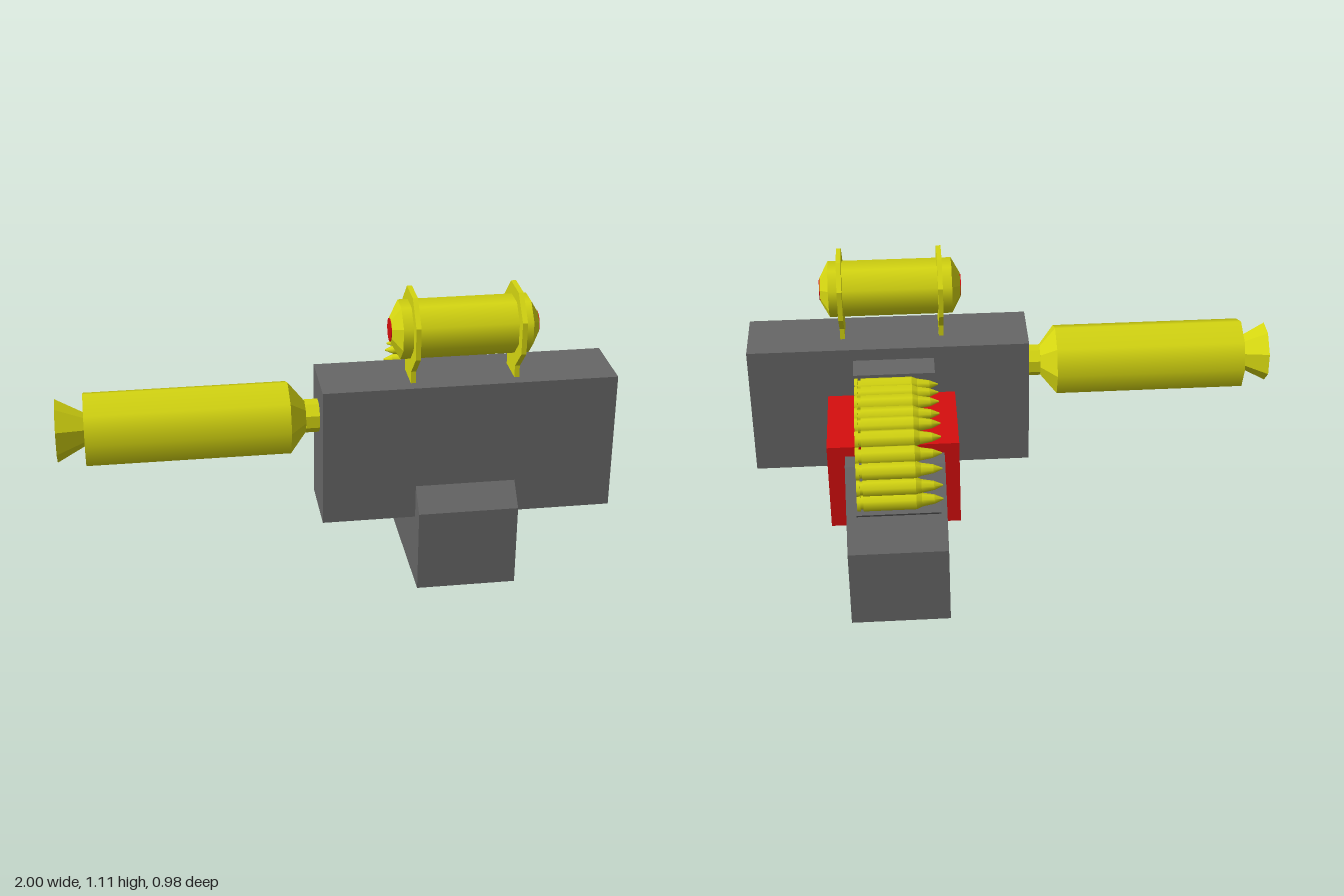
import * as THREE from 'three';

export function createModel() {
  const model = new THREE.Group();
  const paint = (name, color) => {
    const m = new THREE.MeshStandardMaterial({ color });
    m.name = name;
    return m;
  };
  const grey = paint('gunmetal grey', 0x666666);
  const yellow = paint('brass yellow', 0xd5d611);
  const red = paint('signal red', 0xd60e0e);

  const add = (name, geometry, material, parent = model) => {
    const mesh = new THREE.Mesh(geometry, material);
    mesh.name = name;
    parent.add(mesh);
    return mesh;
  };

  // Box given by its limits on each axis
  const box = (name, material, [x0, x1], [y0, y1], [z0, z1]) => {
    const g = new THREE.BoxGeometry(x1 - x0, y1 - y0, z1 - z0);
    return add(name, g.translate((x0 + x1) / 2, (y0 + y1) / 2, (z0 + z1) / 2), material);
  };

  // Round section along x, from radius r0 at x0 to radius r1 at x1
  const rod = (name, material, parent, x0, r0, x1, r1, { sides = 8, turn = 0, flat = false } = {}) => {
    let g = new THREE.CylinderGeometry(r1, r0, x1 - x0, sides, 1, false, turn);
    g.rotateZ(-Math.PI / 2).translate((x0 + x1) / 2, 0, 0);
    if (flat) {
      g = g.toNonIndexed();
      g.computeVertexNormals();
    }
    return add(name, g, material, parent);
  };

  // Side outline of [z, y] points, extruded from x0 to x1
  const slab = (name, material, points, x0, x1) => {
    const shape = new THREE.Shape(points.map(([z, y]) => new THREE.Vector2(z, y)));
    const g = new THREE.ExtrudeGeometry(shape, { depth: x1 - x0, bevelEnabled: false });
    return add(name, g.rotateY(-Math.PI / 2).translate(x1, 0, 0), material);
  };

  // Main blocks
  slab('base', grey, [[0.49, 0], [0.49, 0.31], [0.265, 0.54], [-0.265, 0.54], [-0.49, 0.31], [-0.49, 0]], 0.275, 0.64);
  box('receiver', grey, [-0.065, 1], [0.26, 0.78], [0.165, 0.415]);
  box('ammoBox', red, [0.22, 0.705], [0.23, 0.58], [-0.195, 0.2]);
  box('feedBlock', grey, [0.297, 0.602], [0.64, 0.733], [0.055, 0.17]);

  // Tilted plate where the belt leaves the base
  const plate = add('beltExit', new THREE.BoxGeometry(0.305, 0.03, 0.095), grey);
  plate.position.set(0.45, 0.453, -0.372);
  plate.rotation.x = -Math.PI / 4;

  // Barrel
  const barrel = new THREE.Group();
  barrel.name = 'barrel';
  barrel.position.set(0, 0.635, 0.288);
  model.add(barrel);
  const facet = { turn: Math.PI / 8, flat: true };
  rod('muzzle', yellow, barrel, -1, 0.113, -0.9, 0.06, facet);
  rod('barrelTube', yellow, barrel, -0.9, 0.137, -0.175, 0.137);
  rod('barrelTaper', yellow, barrel, -0.175, 0.137, -0.115, 0.06, { flat: true });
  rod('barrelNeck', yellow, barrel, -0.115, 0.06, -0.06, 0.06, facet);

  // Sight with a lens at both ends
  const sight = new THREE.Group();
  sight.name = 'sight';
  sight.position.set(0, 0.965, 0.31);
  model.add(sight);
  rod('sightTube', yellow, sight, 0.22, 0.1055, 0.683, 0.1055, { turn: Math.PI / 8 });
  rod('sightCapRight', yellow, sight, 0.188, 0.047, 0.22, 0.1055, facet);
  rod('sightCapLeft', yellow, sight, 0.683, 0.1055, 0.715, 0.047, facet);
  for (const x of [0.185, 0.714]) rod('lens', red, sight, x, 0.042, x + 0.004, 0.042, { sides: 12 });

  // Octagonal sight mounts with a foot
  const half = [[0.06, 0.77], [0.06, 0.825], [0.14, 0.905], [0.14, 1.023], [0.058, 1.105]];
  const mount = [
    ...half.map(([z, y]) => [0.31 + z, y]),
    ...half.slice().reverse().map(([z, y]) => [0.31 - z, y]),
  ];
  for (const x of [0.265, 0.64]) slab('sightMount', yellow, mount, x - 0.009, x + 0.009);

  // Ammunition belt, tips towards -x
  const belt = new THREE.Group();
  belt.name = 'ammoBelt';
  model.add(belt);
  const rounds = [
    [0.035, 0.695], [-0.02, 0.694], [-0.085, 0.694], [-0.152, 0.684], [-0.211, 0.679],
    [-0.269, 0.659], [-0.322, 0.624], [-0.356, 0.58], [-0.384, 0.527], [-0.402, 0.48],
  ];
  rounds.forEach(([z, y], i) => {
    const round = new THREE.Group();
    round.name = 'cartridge';
    round.position.set(0, y, z);
    round.rotation.x = i * 0.15;
    belt.add(round);
    rod('tip', yellow, round, 0.288, 0.003, 0.32, 0.017);
    rod('bullet', yellow, round, 0.32, 0.017, 0.365, 0.025);
    rod('shoulder', yellow, round, 0.365, 0.025, 0.385, 0.034);
    rod('casing', yellow, round, 0.385, 0.034, 0.575, 0.034);
    rod('groove', yellow, round, 0.575, 0.026, 0.585, 0.026);
    rod('rim', yellow, round, 0.585, 0.034, 0.598, 0.034);
  });

  return model;
}
